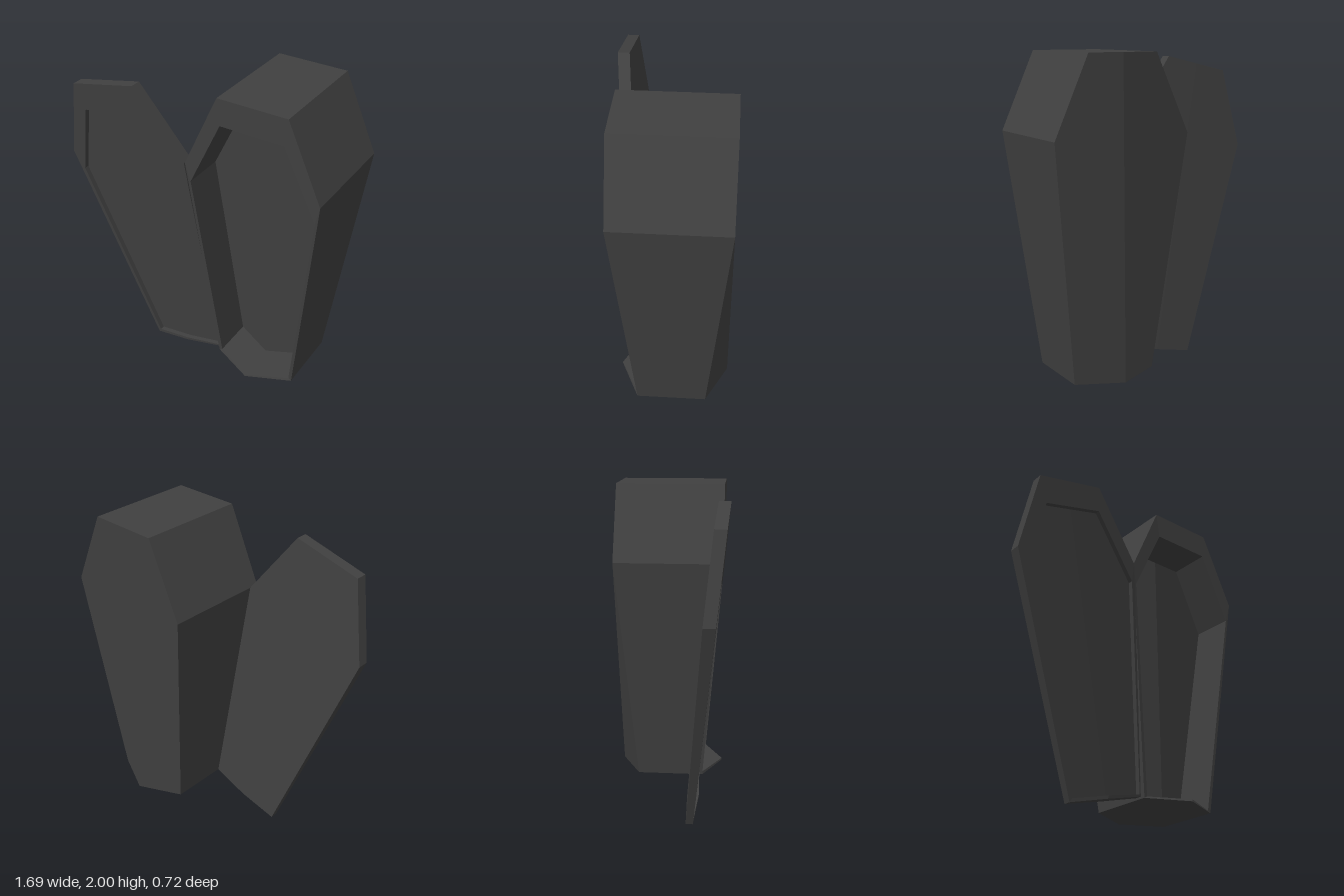
import * as THREE from 'three';
import { mergeGeometries } from 'three/addons/utils/BufferGeometryUtils.js';

// Flat polygon: a fan of triangles sharing one averaged normal
function polygon(points) {
  const normal = new THREE.Vector3();
  const pos = [], nor = [];
  const [a] = points;
  for (let i = 1; i < points.length - 1; i++) {
    const b = points[i], c = points[i + 1];
    normal.add(b.clone().sub(a).cross(c.clone().sub(a)));
    for (const p of [a, b, c]) pos.push(p.x, p.y, p.z);
  }
  normal.normalize();
  for (let i = 0; i < pos.length / 3; i++) nor.push(normal.x, normal.y, normal.z);
  const g = new THREE.BufferGeometry();
  g.setAttribute('position', new THREE.Float32BufferAttribute(pos, 3));
  g.setAttribute('normal', new THREE.Float32BufferAttribute(nor, 3));
  return g;
}

// Ring order: top middle, top, shoulder, foot, foot middle, foot, shoulder, top
const ring = (list) => list.map((p) => new THREE.Vector3(...p));
const withZ = (points, z) => points.map((p, i) => new THREE.Vector3(p.x, p.y, z[i]));

// Both halves of an end face, folded along the middle
function endFace(r, reversed) {
  return [[2, 3, 4, 0, 1], [6, 7, 0, 4, 5]].map((half) => {
    const pts = half.map((i) => r[i]);
    return polygon(reversed ? [pts[0], ...pts.slice(1).reverse()] : pts);
  });
}

// Strip of quads between two rings
const strip = (a, b) => a.map((p, i) => {
  const j = (i + 1) % a.length;
  return polygon([p, b[i], b[j], a[j]]);
});

// Hollow shell, open to the front
function shell(name, outer, backZ, inner, depth, material) {
  const back = withZ(outer, backZ);
  const floor = withZ(inner, inner.map((p) => p.z - depth));
  const geometry = mergeGeometries([
    ...strip(outer, back),      // outside walls
    ...endFace(back, true),     // back
    ...strip(inner, outer),     // front rim
    ...strip(floor, inner),     // inside walls
    ...endFace(floor, false),   // inside back
  ]);
  const mesh = new THREE.Mesh(geometry, material);
  mesh.name = name;
  return mesh;
}

export function createModel() {
  const group = new THREE.Group();
  group.name = 'openCoffin';
  const darkGrey = new THREE.MeshStandardMaterial({ color: 0x404040, side: THREE.DoubleSide });
  darkGrey.name = 'darkGrey';

  // Deep standing box
  group.add(shell('box',
    ring([[0.415, 2, 0.31], [0.2, 2, 0.31], [-0.01, 1.54, 0.31], [0.15, 0.11, 0.19],
      [0.415, 0.11, 0.31], [0.68, 0.11, 0.19], [0.84, 1.54, 0.31], [0.63, 2, 0.31]]),
    [-0.36, -0.36, -0.36, -0.23, -0.36, -0.23, -0.36, -0.36],
    ring([[0.415, 1.84, 0.31], [0.22, 1.84, 0.31], [0.02, 1.42, 0.3], [0.17, 0.122, 0.19],
      [0.415, 0.122, 0.31], [0.66, 0.122, 0.19], [0.81, 1.42, 0.3], [0.61, 1.84, 0.31]]),
    0.26, darkGrey));

  // Shallow lid leaning beside it
  group.add(shell('lid',
    ring([[-0.535, 1.9, 0.355], [-0.75, 1.85, 0.35], [-0.85, 1.35, 0.3], [-0.36, 0, 0.16],
      [-0.11, 0.06, 0.18], [0.14, 0.12, 0.17], [-0.01, 1.54, 0.32], [-0.32, 1.95, 0.36]]),
    [0.285, 0.28, 0.23, 0.115, 0.107, 0.125, 0.25, 0.29],
    ring([[-0.5, 1.74, 0.34], [-0.69, 1.69, 0.335], [-0.78, 1.24, 0.29], [-0.345, 0.025, 0.162],
      [-0.105, 0.08, 0.182], [0.13, 0.13, 0.172], [-0.02, 1.42, 0.308], [-0.31, 1.79, 0.345]]),
    0.03, darkGrey));
  return group;
}
